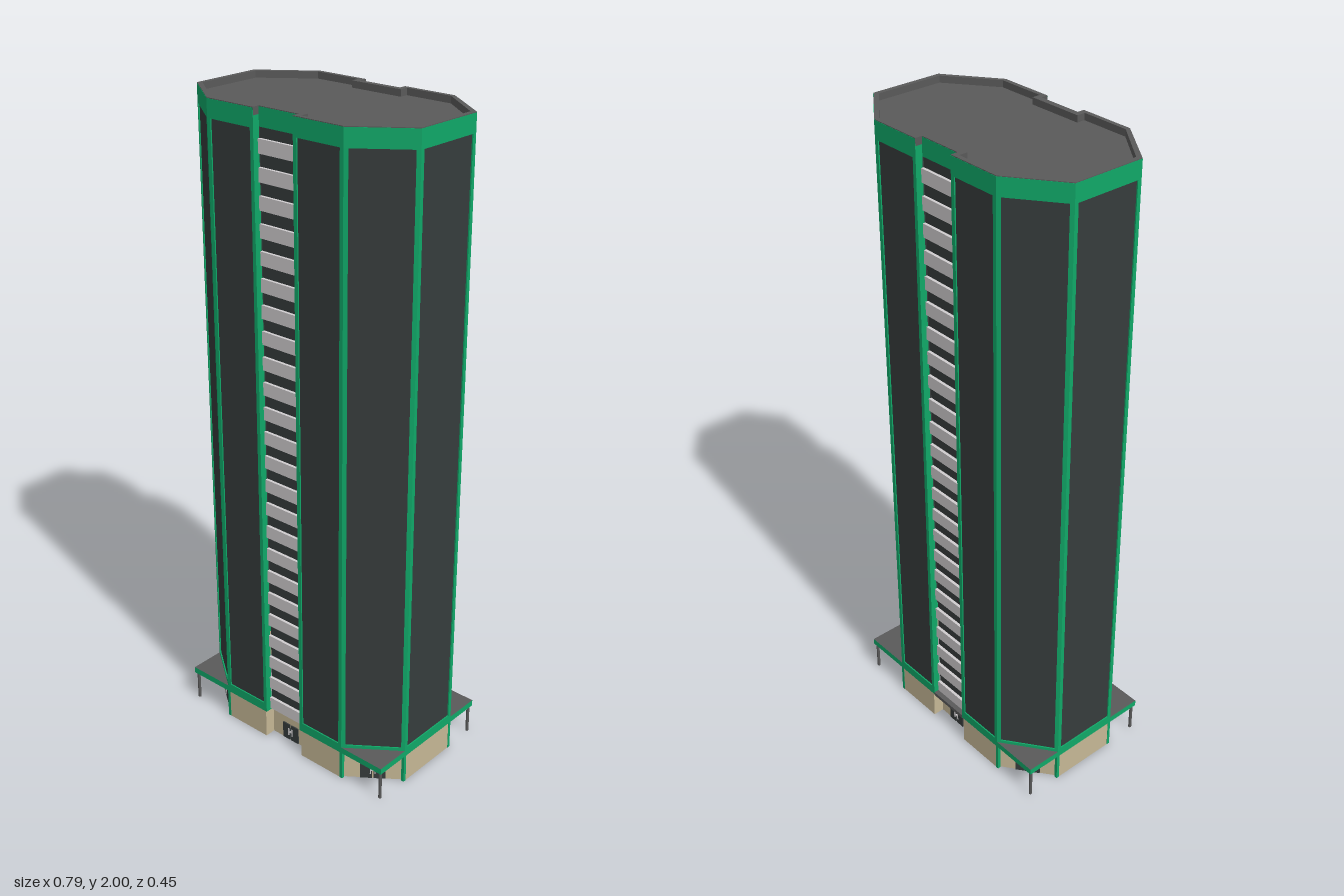
import * as THREE from 'three';

const mat = (name, color) => {
  const m = new THREE.MeshStandardMaterial({ color, side: THREE.DoubleSide });
  m.name = name;
  return m;
};

export function createModel() {
  const green = mat('green trim', 0x10a868);
  const glass = mat('dark glass', 0x363c3c);
  const grey = mat('roof grey', 0x5a5a5a);
  const stone = mat('beige stone', 0xc6b896);
  const pale = mat('pale strip', 0xd0cdcf);

  const model = new THREE.Group();
  model.name = 'tower';

  const add = (parent, name, geometry, material, x = 0, y = 0, z = 0) => {
    const mesh = new THREE.Mesh(geometry, material);
    mesh.name = name;
    mesh.position.set(x, y, z);
    parent.add(mesh);
    return mesh;
  };
  const box = (parent, name, w, h, d, material, x, y, z) =>
    add(parent, name, new THREE.BoxGeometry(w, h, d), material, x, y, z);

  // Mirrors one quarter of a plan into a closed outline of [x, z] points
  const outline = (q) => {
    const flip = (sx, sz) => q.map(([x, z]) => [x * sx, z * sz]);
    return [...q, ...flip(1, -1).reverse(), ...flip(-1, -1), ...flip(-1, 1).reverse()];
  };
  // Group on one wall of an outline: local x runs along it, local z points out
  const onWall = (name, a, b) => {
    const g = new THREE.Group();
    g.name = name;
    g.position.set((a[0] + b[0]) / 2, 0, (a[1] + b[1]) / 2);
    g.rotation.y = Math.atan2(a[1] - b[1], b[0] - a[0]);
    model.add(g);
    return g;
  };
  const eachWall = (pts, fn) => pts.forEach((a, i) => {
    const b = pts[(i + 1) % pts.length];
    fn(a, b, Math.hypot(b[0] - a[0], b[1] - a[1]));
  });
  const toShape = (pts) => new THREE.Shape(pts.map(([x, z]) => new THREE.Vector2(x, z)));
  // Flat slab from a plan outline, hanging down from the given top height
  const slab = (name, shape, top, depth, material) => {
    const geo = new THREE.ExtrudeGeometry(shape, { depth, bevelEnabled: false });
    geo.rotateX(Math.PI / 2);
    return add(model, name, geo, material, 0, top, 0);
  };

  const plan = outline([[0.07, 0.205], [0.07, 0.227], [0.24, 0.227], [0.395, 0.113]]);

  // Tower walls: framed glass, green returns, striped notches
  const y0 = 0.095, y1 = 1.998, t = 0.01;
  eachWall(plan, (a, b, len) => {
    if (len < 0.05) {
      const g = onWall('notchReturn', a, b);
      box(g, 'returnTrim', len, y1 - y0, t, green, 0, (y0 + y1) / 2, -t / 2);
      return;
    }
    const notch = len < 0.145 && Math.abs(a[1]) < 0.21 && Math.abs(a[0]) < 0.1;
    const g = onWall(notch ? 'stripedNotch' : 'glassWall', a, b);
    add(g, 'glassPane', new THREE.PlaneGeometry(len, 1.86), glass, 0, 1.03, -0.004);
    box(g, 'topBand', len, y1 - 1.945, t, green, 0, (y1 + 1.945) / 2, -t / 2);
    if (notch) {
      for (let i = 0; i < 24; i++) {
        box(g, 'paleStrip', len, 0.04, 0.009, pale, 0, 1.895 - i * 0.0771, 0.001);
      }
      return;
    }
    box(g, 'bottomBand', len, 0.03, t, green, 0, 0.11, -t / 2);
    for (const s of [-1, 1]) {
      box(g, 'cornerTrim', 0.012, 1.82, t, green, s * (len / 2 - 0.006), 1.035, -t / 2);
    }
  });

  // Parapet rim and recessed roof deck
  const inner = outline([[0.087, 0.187], [0.087, 0.213], [0.237, 0.213], [0.38, 0.105]]);
  const rim = toShape(plan.map(([x, z]) => [x * 0.998, z * 0.997]));
  rim.holes.push(new THREE.Path(inner.map(([x, z]) => new THREE.Vector2(x, z))));
  slab('parapet', rim, 2, 0.022, grey);
  slab('roofDeck', toShape(inner), 1.98, 0.01, grey);

  // Stone ground floor, open underneath
  const base = outline([[0.075, 0.19], [0.075, 0.225], [0.236, 0.225],
    [0.234, 0.219], [0.389, 0.105], [0.393, 0.108]]);
  eachWall(base, (a, b, len) => {
    const g = onWall('baseWall', a, b);
    add(g, 'stoneWall', new THREE.PlaneGeometry(len, 0.098), stone, 0, 0.049, 0);
  });

  // Double doors with pale handles
  const door = (a, b, w) => {
    const g = onWall('entrance', a, b);
    for (const s of [-1, 1]) {
      box(g, 'doorLeaf', w / 2 - 0.003, 0.056, 0.006, glass, s * (w / 4 + 0.001), 0.03, 0.001);
      box(g, 'doorHandle', 0.004, 0.026, 0.004, pale, s * 0.007, 0.032, 0.004);
    }
    box(g, 'doorBar', 0.018, 0.004, 0.004, pale, 0, 0.032, 0.004);
  };
  door([-0.075, 0.19], [0.075, 0.19], 0.064);
  door([0.075, -0.19], [-0.075, -0.19], 0.064);

  for (const sx of [-1, 1]) {
    for (const sz of [-1, 1]) {
      const p = [sx * 0.234, sz * 0.219], q = [sx * 0.389, sz * 0.105];
      if (sx * sz > 0) door(p, q, 0.078);
      else door(q, p, 0.078);

      // Corner canopy with its post
      const tri = [[0.24, 0.227], [0.395, 0.227], [0.395, 0.113]];
      slab('cornerCanopy', toShape(tri.map(([x, z]) => [x * sx, z * sz])), 0.115, 0.02, [grey, green]);
      add(model, 'canopyPost', new THREE.CylinderGeometry(0.005, 0.005, 0.096, 8),
        grey, sx * 0.386, 0.048, sz * 0.218);

      // Green piers at the corners of the ground floor
      box(model, 'basePier', 0.01, 0.096, 0.01, green, sx * 0.238, 0.048, sz * 0.221);
      box(model, 'basePier', 0.01, 0.096, 0.01, green, sx * 0.389, 0.048, sz * 0.11);
    }
  }

  // Small canopy over the rear entrance
  box(model, 'rearCanopy', 0.14, 0.012, 0.036, grey, 0, 0.097, -0.209);

  return model;
}
